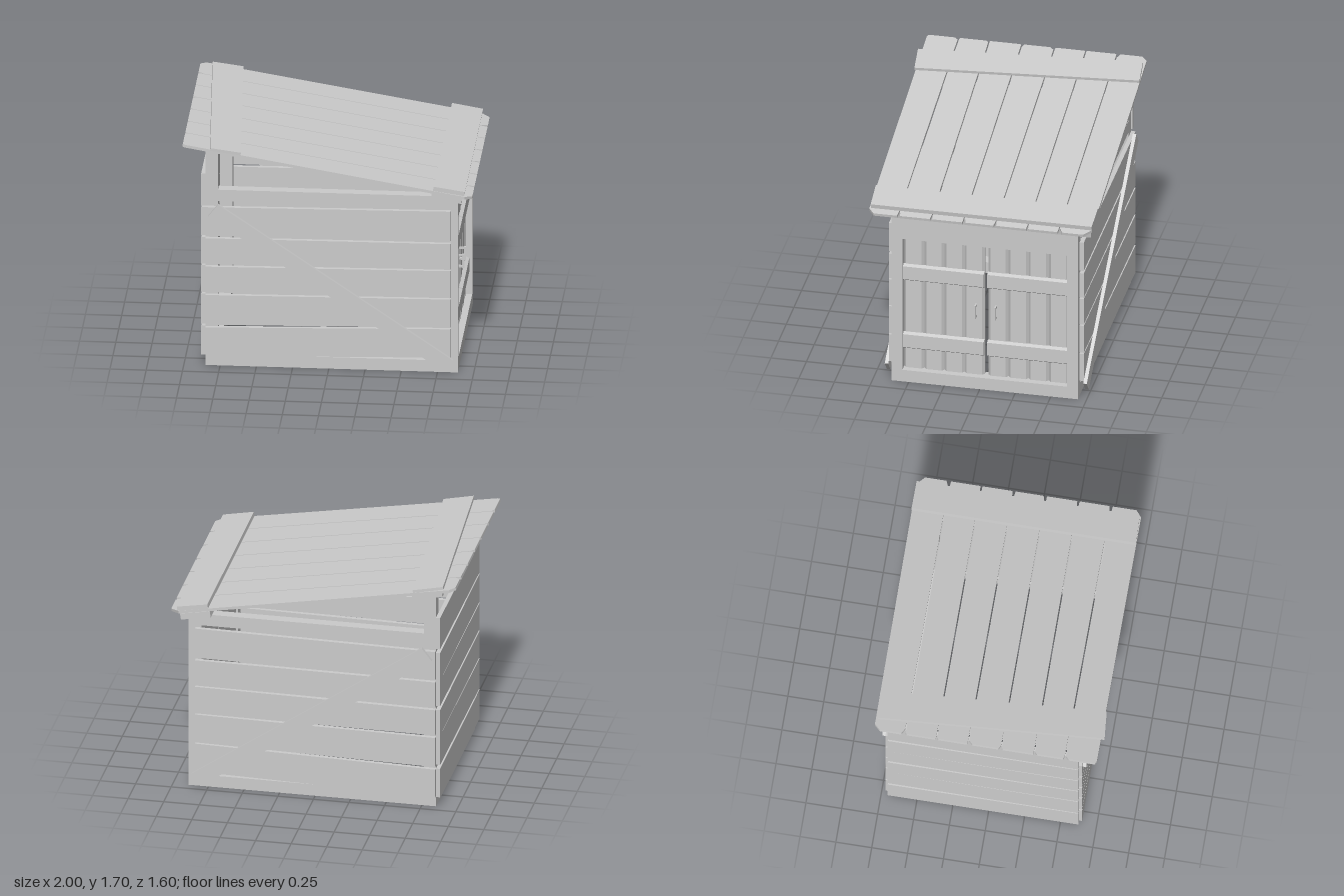
import * as THREE from 'three';

const mat = new THREE.MeshStandardMaterial({ color: 0xcccccc, flatShading: true });
const MID_Z = -0.035;

export function createModel() {
  const shed = new THREE.Group();
  shed.name = 'shed';

  const add = (parent, name, geo) => {
    const mesh = new THREE.Mesh(geo, mat);
    mesh.name = name;
    parent.add(mesh);
    return mesh;
  };
  // Box given by its limits on each axis
  const box = (parent, name, x0, x1, y0, y1, z0, z1) => {
    const mesh = add(parent, name, new THREE.BoxGeometry(x1 - x0, y1 - y0, z1 - z0));
    mesh.position.set((x0 + x1) / 2, (y0 + y1) / 2, (z0 + z1) / 2);
    return mesh;
  };
  // Flat board cut from an outline, thickness along +z
  const cut = (pts, depth) => new THREE.ExtrudeGeometry(
    new THREE.Shape(pts.map(p => new THREE.Vector2(p[0], p[1]))),
    { depth, bevelEnabled: false });

  // Timber frame
  const frame = new THREE.Group();
  frame.name = 'frame';
  shed.add(frame);
  for (const [z0, z1] of [[0.545, 0.62], [-0.69, -0.615]]) {
    box(frame, 'backPost', -0.85, -0.765, 0, 1.6, z0, z1);
    box(frame, 'doorPost', 0.8, 0.89, 0, 1.29, z0, z1);
    box(frame, 'sideSill', -0.765, 0.8, 0, 0.085, z0, z1);
    box(frame, 'sideRail', -0.765, 0.8, 1.215, 1.3, z0, z1);
  }
  box(frame, 'backSill', -0.85, -0.765, 0, 0.085, -0.615, 0.545);
  box(frame, 'doorSill', 0.8, 0.89, 0, 0.09, -0.615, 0.545);
  box(frame, 'doorHeader', 0.81, 0.885, 1.11, 1.21, -0.615, 0.545);
  box(frame, 'topHeader', 0.8, 0.89, 1.21, 1.285, -0.615, 0.545);

  // Side walls: slightly skewed planks and a diagonal brace
  const planks = [
    [0.08, 0.12, 0.33, 0.29], [0.31, 0.34, 0.55, 0.53], [0.55, 0.56, 0.76, 0.74],
    [0.76, 0.77, 0.96, 0.95], [0.97, 0.98, 1.2, 1.18]
  ];
  const brace = [[-0.83, 1.12], [0.79, 0.03], [0.86, 0.11], [-0.76, 1.21]];
  for (const side of [1, -1]) {
    const wall = new THREE.Group();
    wall.name = side > 0 ? 'frontWall' : 'rearWall';
    shed.add(wall);
    const inner = MID_Z + side * 0.656;
    for (const [a, b, c, d] of planks) {
      const p = add(wall, 'wallPlank', cut([[-0.85, a], [0.84, b], [0.84, c], [-0.85, d]], 0.03));
      p.position.z = side > 0 ? inner : inner - 0.03;
    }
    const b = add(wall, 'diagonalBrace', cut(brace, 0.025));
    b.position.z = side > 0 ? inner + 0.03 : inner - 0.055;
  }

  // Closed wall opposite the doors
  const backWall = new THREE.Group();
  backWall.name = 'backWall';
  shed.add(backWall);
  const edges = [0.075, 0.305, 0.54, 0.75, 0.96, 1.18, 1.43];
  for (let i = 0; i < 6; i++) {
    const s = i % 2 ? 0.01 : -0.005;
    const p = add(backWall, 'backPlank', cut([
      [-0.63, edges[i] + 0.005], [0.7, edges[i] + 0.005 + s],
      [0.7, edges[i + 1] - 0.01 + s], [-0.63, edges[i + 1] - 0.008]
    ], 0.03));
    p.rotation.y = Math.PI / 2;
    p.position.x = -0.88;
  }

  // Double doors: chamfered planks, two cross bars and a handle on each leaf
  for (const side of [1, -1]) {
    const door = new THREE.Group();
    door.name = side > 0 ? 'leftDoor' : 'rightDoor';
    shed.add(door);
    const hinge = MID_Z + side * 0.58, meet = MID_Z + side * 0.012;
    const z0 = Math.min(hinge, meet), w = Math.abs(hinge - meet);
    const step = w / 4;
    for (let i = 0; i < 4; i++) {
      const a = z0 + i * step, b = a + step;
      // Cross-section in (x, -z), raised upright
      const g = cut([[0.815, -b], [0.825, -b], [0.845, -b + 0.017], [0.845, -a - 0.017],
        [0.825, -a], [0.815, -a]].reverse(), 1.02);
      add(door, 'doorPlank', g.rotateX(-Math.PI / 2)).position.y = 0.09;
    }
    for (const y of [0.24, 0.77]) {
      // Bar with a sloped lower edge
      const g = cut([[0.843, y], [0.87, y + 0.018], [0.87, y + 0.118], [0.843, y + 0.13]], w);
      add(door, 'crossBar', g).position.z = z0;
    }
    const hz = MID_Z + side * 0.07;
    box(door, 'handleGrip', 0.876, 0.888, 0.545, 0.645, hz - 0.006, hz + 0.006);
    for (const y of [0.555, 0.635])
      box(door, 'handleStem', 0.84, 0.878, y - 0.007, y + 0.007, hz - 0.006, hz + 0.006);
  }

  // Sloping roof, built level and then tilted
  const roof = new THREE.Group();
  roof.name = 'roof';
  roof.position.y = 1.51;
  roof.rotation.z = -Math.atan(0.17);
  shed.add(roof);
  const k = 1.012;
  // Board from an (x, z) outline with its upper face at the given height
  const flat = (name, pts, top, depth) => {
    const g = cut(pts.map(([x, z]) => [x * k, z]), depth).rotateX(Math.PI / 2);
    add(roof, name, g).position.y = top;
  };
  const west = [-0.78, -0.56, -0.34, -0.12, 0.11, 0.34, 0.555, 0.78];
  const east = [-0.765, -0.575, -0.355, -0.13, 0.095, 0.32, 0.55, 0.74];
  for (let i = 0; i < 7; i++) {
    const c = [0.04, 0.006, 0.008, 0.025, 0.006, 0.015, 0.02][i];
    const a = west[i] + 0.004, b = west[i + 1] - 0.005;
    const e = east[i] + 0.004, f = east[i + 1] - 0.005;
    const edgeA = i === 0 ? -0.8 : e, edgeF = i === 6 ? 0.765 : f;
    // Worn corners on the eaves ends
    flat('roofPlank', [[-1 + c, a], [0.94, edgeA], [1, e + c * 0.3], [1, f - c * 0.5],
      [0.95, edgeF], [-1 + c, b], [-1, b - c * 0.5], [-1, a + c]], 0.01, 0.02);
  }
  flat('upperCapBoard', [[-0.92, -0.76], [-0.71, -0.78], [-0.6, 0.78], [-0.81, 0.8]], 0.031, 0.02);
  flat('lowerCapBoard', [[0.73, -0.8], [0.945, -0.8], [0.945, 0.755], [0.73, 0.765]], 0.042, 0.031);
  flat('upperBearer', [[-0.895, -0.73], [-0.685, -0.73], [-0.685, 0.66], [-0.895, 0.66]], -0.011, 0.045);
  flat('lowerBearer', [[0.725, -0.79], [0.935, -0.79], [0.935, 0.73], [0.725, 0.73]], -0.016, 0.045);

  return shed;
}
